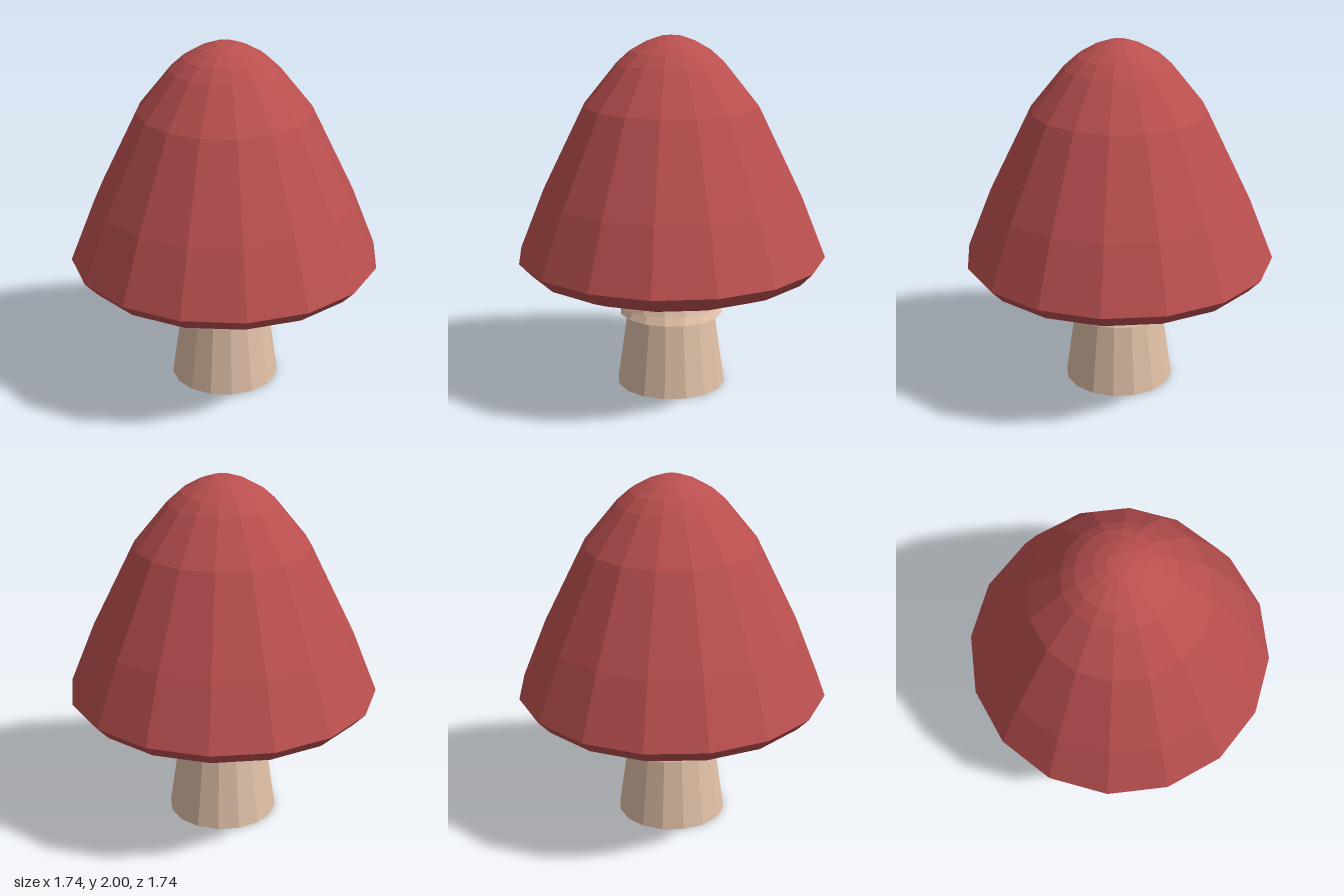
import * as THREE from 'three';

const SIDES = 16;

// Faceted solid of revolution; the profile runs as [radius, height] from bottom centre to top centre
function turned(name, color, profile) {
  const points = profile.map(([r, y]) => new THREE.Vector2(r, y));
  const material = new THREE.MeshStandardMaterial({ color, flatShading: true, side: THREE.DoubleSide });
  const mesh = new THREE.Mesh(new THREE.LatheGeometry(points, SIDES), material);
  mesh.name = name;
  return mesh;
}

export function createModel() {
  const group = new THREE.Group();
  group.name = 'mushroom';

  // Stem with three stepped collars under the cap
  group.add(turned('stem', 0xdfbfa6, [
    [0, 0], [0.31, 0], [0.25, 0.42],
    [0.295, 0.425], [0.26, 0.485],
    [0.317, 0.485], [0.29, 0.55],
    [0.345, 0.55], [0.305, 0.86], [0.27, 1.1], [0, 1.1],
  ]));

  // Cap: hollow socket, sloping underside, bevelled rim and bell-shaped dome
  group.add(turned('cap', 0xba4f4f, [
    [0, 1.2], [0.38, 1.12], [0.41, 0.82],
    [0.69, 0.65], [0.8, 0.695], [0.87, 0.77],
    [0.73, 1.12], [0.485, 1.62], [0.3, 1.85], [0.228, 1.915],
    [0.135, 1.968], [0.06, 1.995], [0, 2],
  ]));

  return group;
}
